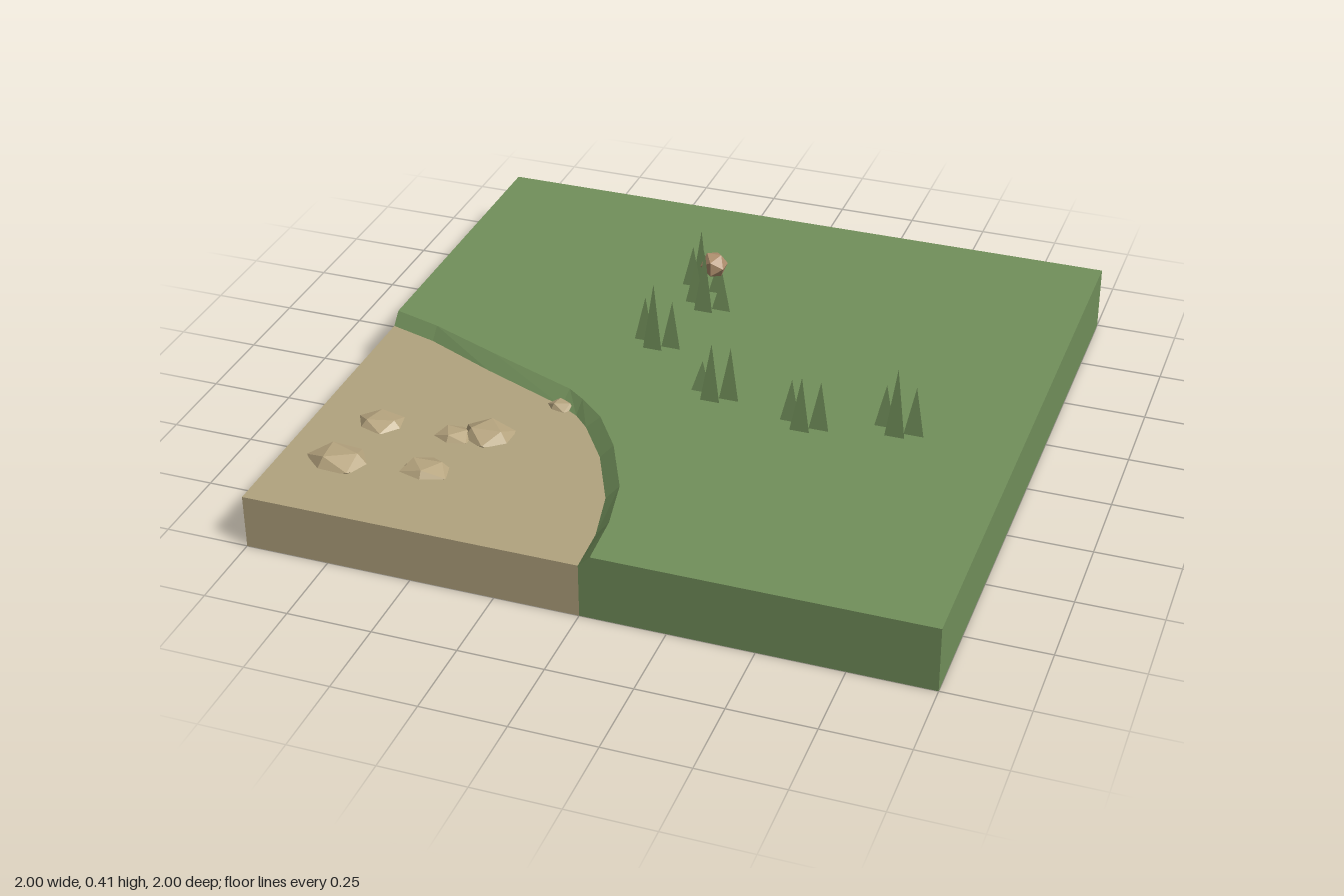
import * as THREE from 'three';

const mat = (name, color) => {
  const m = new THREE.MeshStandardMaterial({ color });
  m.name = name;
  return m;
};

// Edge between grass and sand: foot of the bank [x, z], then its crest [x, z]
const BANK = [
  [0, 1, 0.035, 1], [-0.007, 0.85, 0.025, 0.83], [-0.045, 0.675, -0.01, 0.655],
  [-0.135, 0.485, -0.1, 0.465], [-0.23, 0.35, -0.19, 0.335], [-0.28, 0.3, -0.275, 0.26],
  [-0.34, 0.265, -0.33, 0.22], [-0.62, 0.15, -0.62, 0.105], [-0.85, 0.045, -0.85, 0.01],
  [-1, 0, -1, -0.035],
];
const SAND_TOP = 0.165, GRASS_TOP = 0.2;

// Upright prism from an outline of [x, z] points
function slab(points, height, steps) {
  const shape = new THREE.Shape(points.map(([x, z]) => new THREE.Vector2(x, -z)));
  const geo = new THREE.ExtrudeGeometry(shape, { depth: height, steps, bevelEnabled: false });
  return geo.rotateX(-Math.PI / 2);
}

// Grass slab: the middle layer is raised to the sand, the top layer pulled back to the crest
function grassGeometry() {
  const geo = slab([...BANK, [-1, -1], [1, -1], [1, 1]], GRASS_TOP, 2);
  const p = geo.attributes.position;
  for (let i = 0; i < p.count; i++) {
    const x = p.getX(i), y = p.getY(i), z = p.getZ(i);
    if (y > 0.15) {
      const b = BANK.find((q) => Math.hypot(q[0] - x, q[1] - z) < 1e-4);
      if (b) p.setXYZ(i, b[2], GRASS_TOP, b[3]);
    } else if (y > 0.05) p.setY(i, SAND_TOP);
  }
  geo.computeVertexNormals();
  return geo;
}

export function createModel() {
  const model = new THREE.Group();
  const grass = mat('grass green', 0x72905b);
  const sand = mat('sand', 0xb2a47f);
  const stone = mat('stone', 0xb8a680);
  const clay = mat('warm brown', 0xb0906f);
  stone.flatShading = clay.flatShading = grass.flatShading = true;

  const add = (name, geo, material, x = 0, y = 0, z = 0, parent = model) => {
    const mesh = new THREE.Mesh(geo, material);
    mesh.name = name;
    mesh.position.set(x, y, z);
    parent.add(mesh);
    return mesh;
  };

  // Ground
  add('grassGround', grassGeometry(), grass);
  add('sandGround', slab([...BANK, [-1, 1]], SAND_TOP, 1), sand);

  // Tufts of three blades: centre x, z, then blade tip heights
  const tufts = [
    [-0.155, -0.45, 0.33, 0.415, 0.315], [-0.11, -0.35, 0.34, 0.4, 0.315],
    [-0.18, -0.085, 0.34, 0.415, 0.35], [0.08, 0.14, 0.295, 0.385, 0.365],
    [0.375, 0.21, 0.33, 0.37, 0.35], [0.64, 0.15, 0.33, 0.415, 0.35],
  ];
  const offsets = [[-0.042, -0.043], [0, 0], [0.05, -0.025]];
  for (const [x, z, ...tips] of tufts) {
    const tuft = new THREE.Group();
    tuft.name = 'grassTuft';
    tuft.position.set(x, GRASS_TOP, z);
    tips.forEach((tip, i) => {
      const h = tip - GRASS_TOP;
      const blade = new THREE.ConeGeometry(0.034, h, 3).rotateY(Math.PI);
      add('blade', blade, grass, offsets[i][0], h / 2, offsets[i][1] - 0.005, tuft);
    });
    model.add(tuft);
  }

  // Flat rocks half sunk in the sand: x, z, half width, half depth, top, turn
  const rocks = [
    [-0.8, 0.52, 0.078, 0.065, 0.19, 0.3], [-0.57, 0.515, 0.062, 0.052, 0.188, 0.9],
    [-0.48, 0.48, 0.085, 0.072, 0.202, 0.1], [-0.83, 0.74, 0.098, 0.077, 0.202, 0.6],
    [-0.575, 0.705, 0.082, 0.064, 0.19, 1.1], [-0.338, 0.268, 0.046, 0.034, 0.186, 0.4],
  ];
  for (const [x, z, w, d, top, turn] of rocks) {
    const geo = new THREE.IcosahedronGeometry(1, 0);
    geo.rotateX(0.35).rotateY(turn).scale(w, (top - 0.16) / 0.95, d);
    add('rock', geo, stone, x, 0.16, z);
  }

  // Small round bud among the blades
  add('bud', new THREE.IcosahedronGeometry(0.043, 0), clay, -0.09, 0.345, -0.385);

  return model;
}
